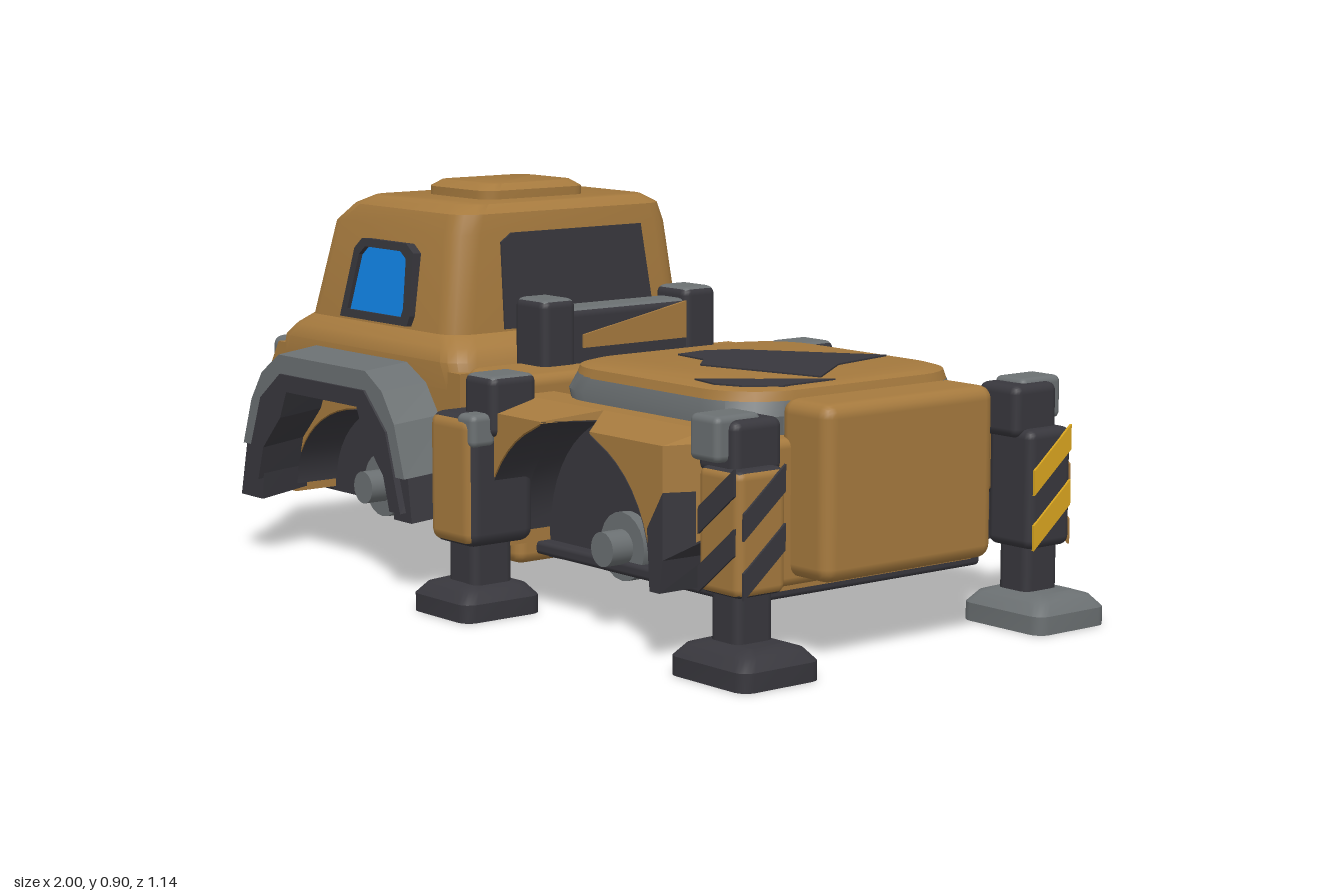
import * as THREE from 'three';
import { toCreasedNormals } from 'three/addons/utils/BufferGeometryUtils.js';
import { RoundedBoxGeometry } from 'three/addons/geometries/RoundedBoxGeometry.js';

const material = (name, color) => {
  const m = new THREE.MeshStandardMaterial({ color });
  m.name = name;
  return m;
};

export function createModel() {
  const model = new THREE.Group();
  model.name = 'supportTruck';
  const tan = material('tanPaint', 0xa67a3e);
  const dark = material('darkMetal', 0x38373d);
  const grey = material('greyMetal', 0x6b7072);
  const yellow = material('yellowPaint', 0xd9a51f);
  const blue = material('blueGlass', 0x128af0);
  const liner = material('archLiner', 0x38373d);
  liner.side = THREE.DoubleSide;
  const greyTop = [dark, dark, grey, dark, dark, dark];

  const add = (name, geo, mat) => {
    const mesh = new THREE.Mesh(geo, mat);
    mesh.name = name;
    model.add(mesh);
    return mesh;
  };
  // Rounded box from its extents; mat may list +x, -x, top, bottom, +z, -z
  const box = (name, mat, x0, x1, y0, y1, z0, z1, r = 0.02) => {
    const geo = new RoundedBoxGeometry(x1 - x0, y1 - y0, z1 - z0, 2, r);
    add(name, geo.translate((x0 + x1) / 2, (y0 + y1) / 2, (z0 + z1) / 2), mat);
  };
  // Side profile extruded from z0 to z1, with an optional hole
  const vectors = pts => pts.map(p => new THREE.Vector2(...p));
  const extrude = (pts, z0, z1, hole) => {
    const shape = new THREE.Shape(vectors(pts));
    if (hole) shape.holes.push(new THREE.Path(vectors(hole)));
    return new THREE.ExtrudeGeometry(shape, { depth: z1 - z0, bevelEnabled: false }).translate(0, 0, z0);
  };
  const sideExtrude = (pts, z0, z1, s) => s > 0 ? extrude(pts, z0, z1) : extrude(pts, -z1, -z0);
  // Moves the outer vertices of a side part by a rule
  const moveOuter = (geo, rule) => {
    const p = geo.attributes.position;
    for (let i = 0; i < p.count; i++) {
      if (Math.abs(p.getZ(i)) > 0.43) p.setXY(i, ...rule(p.getX(i), p.getY(i)));
    }
    geo.computeVertexNormals();
    return geo;
  };

  // Stack of rounded rectangles: [y, x0, x1, z0, z1, cornerRadius]
  const loft = (sections, n = 5) => {
    const pos = [], idx = [], count = 4 * n;
    for (const [y, x0, x1, z0, z1, r] of sections) {
      for (let j = 0; j < count; j++) {
        const q = Math.floor(j / n), a = (q + (j % n) / (n - 1)) * Math.PI / 2;
        const cx = q === 0 || q === 3 ? x1 - r : x0 + r;
        const cz = q < 2 ? z1 - r : z0 + r;
        pos.push(cx + r * Math.cos(a), y, cz + r * Math.sin(a));
      }
    }
    const top = (sections.length - 1) * count;
    for (let a = 0; a < top; a++) {
      const b = a % count === count - 1 ? a + 1 - count : a + 1;
      idx.push(a, a + count, b, b, a + count, b + count);
    }
    for (let j = 1; j < count - 1; j++) idx.push(0, j, j + 1, top, top + j + 1, top + j);
    const geo = new THREE.BufferGeometry();
    geo.setAttribute('position', new THREE.Float32BufferAttribute(pos, 3));
    geo.setIndex(idx);
    return toCreasedNormals(geo, 0.6);
  };

  // Thin plate facing the heading (radians about y), leaning back by tilt
  const plate = (name, mat, pts, x, y, z, heading, tilt = 0, depth = 0.008, hole = null) => {
    const mesh = add(name, extrude(pts, 0, depth, hole), mat);
    mesh.position.set(x, y, z);
    mesh.rotation.set(-tilt, heading, 0, 'YXZ');
  };
  const scaled = (pts, kx, ky) => pts.map(([x, y]) => [x * kx, y * ky]);
  const arc = (cx, cy, rx, ry, n = 24) => Array.from({ length: n + 1 }, (_, i) => {
    const a = Math.PI * (1 - i / n);
    return [cx + rx * Math.cos(a), cy + ry * Math.sin(a)];
  });

  // Front body and cab
  add('frontBody', extrude([[-0.95, 0.14], [-0.14, 0.14], [-0.14, 0.5], [-0.89, 0.5], [-0.95, 0.4]], -0.26, 0.26), tan);
  box('frontFloor', dark, -0.95, -0.14, 0.125, 0.15, -0.26, 0.26, 0.01);
  add('cab', loft([
    [0.46, -0.91, -0.14, -0.38, 0.38, 0.05], [0.52, -0.89, -0.15, -0.385, 0.385, 0.06],
    [0.55, -0.86, -0.17, -0.37, 0.37, 0.06], [0.575, -0.825, -0.215, -0.345, 0.345, 0.06],
    [0.8, -0.77, -0.23, -0.315, 0.315, 0.06], [0.845, -0.71, -0.235, -0.3, 0.3, 0.06],
    [0.865, -0.67, -0.26, -0.27, 0.27, 0.06]]), tan);
  add('roofHatch', loft([
    [0.85, -0.6, -0.35, -0.15, 0.15, 0.04], [0.885, -0.6, -0.35, -0.15, 0.15, 0.04],
    [0.9, -0.58, -0.37, -0.13, 0.13, 0.04]]), tan);

  // Windows, with the glass set back in the frames
  const screen = [[-0.265, -0.105], [0.265, -0.105], [0.235, 0.105], [-0.235, 0.105]];
  const pane = scaled(screen, 0.9, 0.8);
  plate('windscreenSurround', tan, scaled(screen, 1.1, 1.12), -0.79, 0.687, 0, -Math.PI / 2, 0.24, 0.027, screen);
  plate('windscreenFrame', dark, screen, -0.795, 0.687, 0, -Math.PI / 2, 0.24, 0.02, pane);
  plate('windscreenGlass', blue, pane, -0.795, 0.687, 0, -Math.PI / 2, 0.24);
  plate('rearWindow', dark, [[-0.2, -0.11], [0.24, -0.11], [0.21, 0.11], [-0.17, 0.11], [-0.2, 0.09]],
    -0.225, 0.69, 0, Math.PI / 2, 0.065);

  for (const s of [1, -1]) {
    const heading = s > 0 ? 0 : Math.PI;
    const win = scaled([[-0.145, -0.095], [0.13, -0.095], [0.14, -0.07], [0.14, 0.075], [0.11, 0.095],
      [-0.07, 0.095], [-0.1, 0.07]], s, 1);
    const glass = scaled(win, 0.8, 0.8);
    plate('sideWindowFrame', dark, win, -0.51, 0.675, s * 0.322, heading, 0.08, 0.028, glass);
    plate('sideWindowGlass', blue, glass, -0.51, 0.675, s * 0.332, heading, 0.09);

    // Front wheel arch, its dark lining and the fender
    const frontArc = arc(-0.525, 0.16, 0.295, 0.215);
    add('frontSidePanel', sideExtrude([[-0.95, 0.14], [-0.82, 0.14], ...frontArc,
      [-0.23, 0.14], [-0.14, 0.14], [-0.14, 0.5], [-0.89, 0.5], [-0.95, 0.4]], 0.26, 0.38, s), tan);
    add('frontArchWall', sideExtrude([[-0.83, 0.13], [-0.22, 0.13], ...[...frontArc].reverse()], 0.255, 0.266, s), dark);
    const ceiling = new THREE.CylinderGeometry(0.29, 0.29, 0.12, 24, 1, true, Math.PI / 2, Math.PI);
    add('frontArchLiner', ceiling.rotateX(Math.PI / 2).scale(1, 0.73, 1).translate(-0.525, 0.16, s * 0.321), liner);
    const fender = (name, mat, pts, z0, z1) =>
      add(name, moveOuter(sideExtrude(pts, z0, z1, s), (x, y) => [-0.53 + (x + 0.53) * 0.95, y - 0.015]), mat);
    fender('fenderTop', grey, [[-0.89, 0.28], [-0.85, 0.39], [-0.8, 0.46], [-0.72, 0.51], [-0.34, 0.51],
      [-0.27, 0.47], [-0.22, 0.4], [-0.18, 0.28], [-0.22, 0.28], [-0.26, 0.37], [-0.34, 0.455],
      [-0.7, 0.455], [-0.77, 0.41], [-0.85, 0.28]], 0.36, 0.495);
    fender('fenderLip', dark, [[-0.88, 0.2], [-0.8, 0.4], [-0.71, 0.465], [-0.34, 0.465], [-0.25, 0.38],
      [-0.19, 0.2], [-0.235, 0.2], [-0.26, 0.28], [-0.34, 0.36], [-0.37, 0.425], [-0.68, 0.425],
      [-0.71, 0.36], [-0.79, 0.28], [-0.815, 0.2]], 0.35, 0.5);
    fender('fenderFrontFoot', dark, [[-0.92, 0.15], [-0.89, 0.28], [-0.805, 0.28], [-0.82, 0.15]], 0.35, 0.485);
    fender('fenderRearFoot', dark, [[-0.24, 0.18], [-0.22, 0.28], [-0.18, 0.28], [-0.165, 0.18]], 0.35, 0.485);

    // Lamp guards
    const z = s * 0.26;
    box('lampGuard', dark, -0.99, -0.89, 0.24, 0.43, z - 0.09, z + 0.09, 0.025);
    box('lampGuardTop', grey, -0.975, -0.87, 0.39, 0.505, z - 0.09, z + 0.09, 0.025);
    box('lampInset', tan, -0.996, -0.97, 0.3, 0.38, z - 0.045, z + 0.045, 0.005);
  }
  box('bumper', dark, -0.985, -0.86, 0.15, 0.27, -0.39, 0.39, 0.03);
  box('grille', dark, -1, -0.88, 0.23, 0.49, -0.16, 0.16, 0.03);

  // Chassis link and cross member
  box('chassisLink', tan, -0.2, 0.05, 0.13, 0.4, -0.28, 0.28, 0.01);
  box('crossMember', tan, -0.11, 0.09, 0.1, 0.52, -0.39, 0.39, 0.025);
  box('crossBar', greyTop, -0.1, 0, 0.5, 0.645, -0.2, 0.2);
  plate('crossBarWedge', tan, [[-0.14, 0], [0.16, 0], [0.16, 0.085], [-0.14, 0.03]], -0.002, 0.555, 0, Math.PI / 2);

  // Rear body, notched above the wheels
  add('rearBody', extrude([[0, 0.14], [0.8, 0.14], [0.8, 0.46], [0, 0.47]], -0.3, 0.3), tan);
  box('rearFloor', dark, 0.08, 0.79, 0.12, 0.15, -0.34, 0.34, 0.01);
  const rearArc = arc(0.38, 0.18, 0.285, 0.28);
  const leftEnd = [[0.06, 0.48], [0.06, 0.15], [0.095, 0.15]];
  const rightEnd = [[0.665, 0.15], [0.7, 0.15], [0.71, 0.22], [0.765, 0.28], [0.765, 0.46], [0.72, 0.48]];
  const notchLeft = (x, y) => [Math.min(x, 0.295), Math.min(y, 0.455)];
  const notchRight = (x, y) => [Math.min(Math.max(x, 0.465), 0.705), Math.min(y, 0.455)];
  for (const s of [1, -1]) {
    add('rearSidePanel', sideExtrude([...leftEnd, ...rearArc, ...rightEnd], 0.29, 0.38, s), tan);
    add('rearFenderFront', moveOuter(sideExtrude([...leftEnd, ...rearArc.slice(0, 13), [0.38, 0.48]], 0.38, 0.485, s), notchLeft), tan);
    add('rearFenderBack', moveOuter(sideExtrude([...rearArc.slice(12), ...rightEnd, [0.38, 0.48]], 0.38, 0.485, s), notchRight), tan);
    for (const [start, rule] of [[Math.PI, notchLeft], [Math.PI / 2, notchRight]]) {
      for (const [z0, z1] of [[0.3, 0.38], [0.38, 0.484]]) {
        const quarter = new THREE.CylinderGeometry(0.282, 0.282, z1 - z0, 12, 1, true, start, Math.PI / 2);
        quarter.rotateX(Math.PI / 2).scale(1, 0.98, 1).translate(0.38, 0.18, s * (z0 + z1) / 2);
        add('rearArchLiner', moveOuter(quarter, rule), liner);
      }
    }
    add('rearArchWall', sideExtrude([[0.09, 0.11], [0.67, 0.13], ...[...rearArc].reverse()], 0.296, 0.306, s), dark);
    const patchTop = s > 0 ? [[0.769, 0.36], [0.66, 0.28]] : [[0.769, 0.464], [0.6, 0.464], [0.66, 0.28]];
    add('rearCornerPatch', moveOuter(sideExtrude([[0.668, 0.15], [0.7, 0.15], [0.714, 0.22], [0.769, 0.28], ...patchTop],
      0.36, 0.489, s), (x, y) => [Math.min(x, 0.71), Math.min(y, 0.459)]), dark);

    // Axle hubs and chassis rails
    for (const [x, y] of [[-0.525, 0.19], [0.38, 0.18]]) {
      for (const [r, z] of [[0.075, 0.33], [0.038, 0.385]]) {
        const hub = new THREE.CylinderGeometry(r, r, 0.1, 20).rotateX(Math.PI / 2);
        add('hub', hub.translate(x, y, s * (z - 0.05)), grey);
      }
    }
    box('barPost', greyTop, -0.11, 0.005, 0.49, 0.67, s * 0.205 - 0.048, s * 0.205 + 0.048);
    box('chassisRail', dark, -0.1, 0.1, 0.098, 0.14, s * 0.195 - 0.055, s * 0.195 + 0.055, 0.005);
  }

  // Turntable deck with worn patches
  add('deckRim', loft([[0.45, 0.12, 0.775, -0.33, 0.33, 0.14], [0.5, 0.11, 0.785, -0.335, 0.335, 0.14],
    [0.545, 0.13, 0.77, -0.32, 0.32, 0.14]], 8), grey);
  add('deckTop', loft([[0.53, 0.125, 0.775, -0.325, 0.325, 0.14], [0.55, 0.13, 0.77, -0.32, 0.32, 0.14],
    [0.556, 0.15, 0.75, -0.3, 0.3, 0.13]], 8), tan);
  const patch = (name, pts) =>
    add(name, extrude(scaled(pts, 1, -1), 0, 0.005).rotateX(-Math.PI / 2).translate(0, 0.5545, 0), dark);
  patch('deckPatch', [[0.23, -0.02], [0.26, -0.09], [0.54, -0.29], [0.58, -0.11], [0.7, 0.05], [0.4, 0.13], [0.34, 0.07], [0.24, 0.06]]);
  patch('deckEdgePatch', [[0.56, 0.28], [0.65, 0.18], [0.745, 0.05], [0.75, 0.2], [0.7, 0.27], [0.64, 0.295]]);

  // Tail box
  box('tailBox', tan, 0.78, 0.93, 0.17, 0.54, -0.24, 0.24, 0.03);
  box('tailPanel', tan, 0.74, 0.82, 0.15, 0.46, -0.33, 0.33);
  plate('tailPatch', dark, [[0.25, 0.25], [0.32, 0.25], [0.32, 0.3], [0.25, 0.4]], 0.815, 0, 0, Math.PI / 2);

  // Stabiliser legs
  const stripes = (mat, x, y, z, heading, w) => {
    for (const dy of [-0.07, 0.05]) {
      plate('stripe', mat, [[-w, dy - 0.06], [w, dy + 0.03], [w, dy + 0.085], [-w, dy - 0.005]], x, y, z, heading, 0, 0.006);
    }
  };
  const foot = (x0, x1, z0, z1, mat) => add('foot', loft([
    [0, x0, x1, z0, z1, 0.03], [0.04, x0, x1, z0, z1, 0.03], [0.065, x0 + 0.02, x1 - 0.02, z0 + 0.02, z1 - 0.02, 0.03],
    [0.075, x0 + 0.05, x1 - 0.05, z0 + 0.05, z1 - 0.05, 0.02]]), mat);
  for (const s of [1, -1]) {
    const span = (a, b) => s > 0 ? [a, b] : [-b, -a];
    // Middle leg
    foot(-0.07, 0.14, ...span(0.36, 0.57), dark);
    box('midColumn', dark, 0, 0.1, 0.05, 0.25, ...span(0.41, 0.52));
    box('midHousing', s > 0 ? [dark, tan, dark, dark, tan, tan] : dark, -0.03, 0.13, 0.16, 0.45, ...span(0.37, 0.55), 0.03);
    box('midHousingEdge', grey, 0.07, 0.134, 0.38, 0.454, ...span(0.48, 0.545), 0.015);
    box('midArm', greyTop, 0.035, 0.145, 0.4, 0.535, ...span(0.375, 0.5));
    if (s < 0) stripes(tan, 0.05, 0.3, -0.547, Math.PI, 0.06);
    // Rear leg
    foot(0.76, 1, ...span(0.31, 0.52), s > 0 ? dark : grey);
    box('rearColumn', dark, 0.82, 0.91, 0.05, 0.25, ...span(0.36, 0.46));
    box('rearHousing', s > 0 ? [tan, tan, dark, dark, tan, tan] : dark, 0.8, 0.93, 0.17, 0.43, ...span(0.345, 0.475));
    box('rearArm', dark, 0.78, 0.9, 0.41, 0.525, ...span(0.33, 0.46));
    box('rearCap', grey, 0.79, 0.88, 0.44, 0.535, ...span(0.37, 0.49), 0.015);
    stripes(s > 0 ? dark : yellow, 0.929, 0.3, s * 0.41, Math.PI / 2, 0.055);
    stripes(s > 0 ? dark : tan, 0.865, 0.3, s * 0.474, s > 0 ? 0 : Math.PI, 0.055);
  }
  return model;
}
